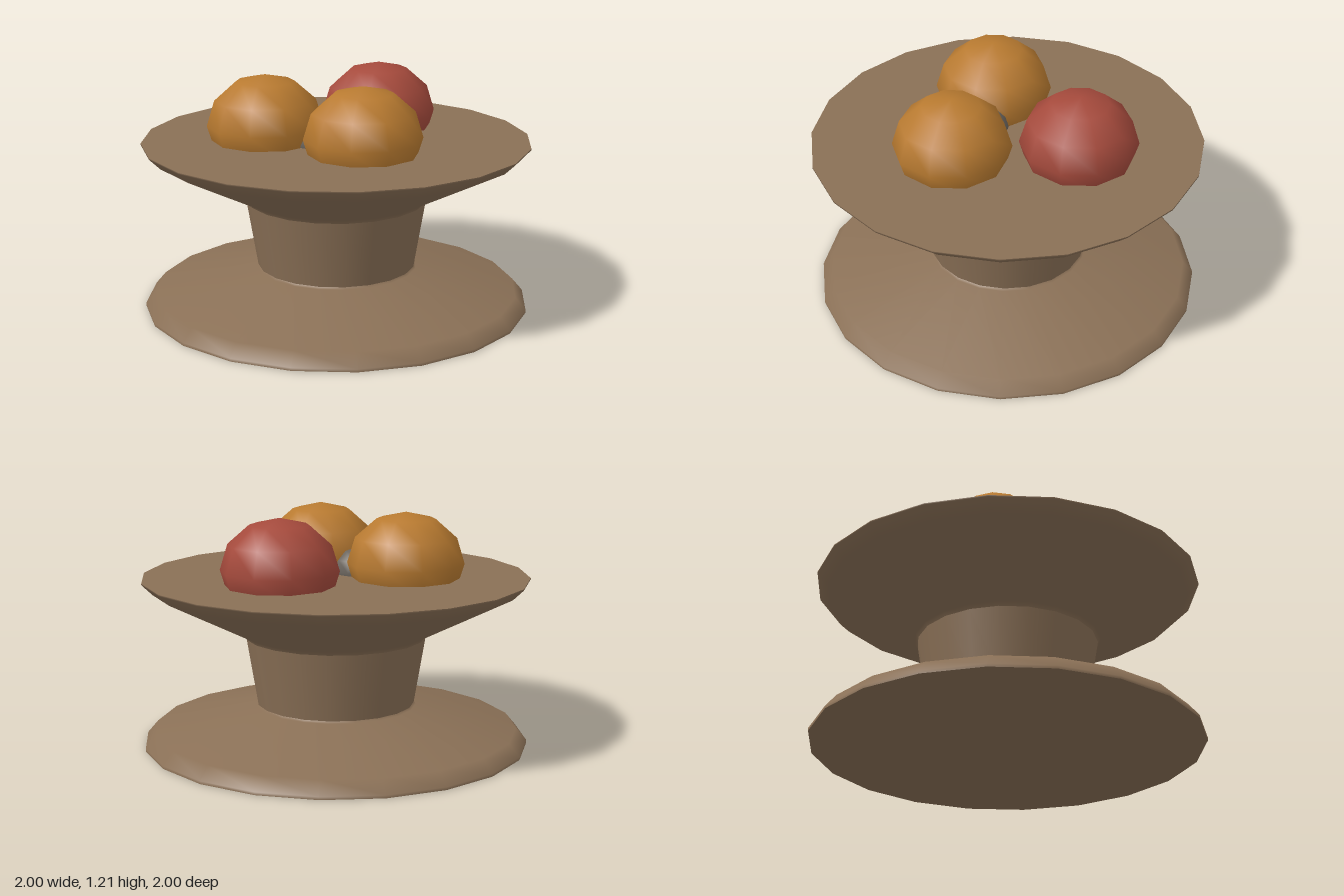
import * as THREE from 'three';

const mat = (name, color) => {
  const m = new THREE.MeshStandardMaterial({ color });
  m.name = name;
  return m;
};

export function createModel() {
  const group = new THREE.Group();
  const wood = mat('brown wood', 0x8a7056);
  const orange = mat('orange peel', 0xb87a30);
  const red = mat('red peel', 0xa54a3c);
  const grey = mat('grey peel', 0x6b655e);

  const add = (name, geometry, material) => {
    const mesh = new THREE.Mesh(geometry, material);
    mesh.name = name;
    group.add(mesh);
    return mesh;
  };
  // Turned part: [radius, height] pairs from bottom to top
  const turned = (name, points) => add(name,
    new THREE.LatheGeometry(points.map(([r, y]) => new THREE.Vector2(r, y)), 20), wood);

  // Stand: foot, neck and flaring dish
  turned('underside', [[0, 0], [1, 0]]);
  turned('foot', [[1, 0], [1, 0.015], [0.945, 0.08], [0.42, 0.2], [0.41, 0.21]]);
  turned('neck', [[0.41, 0.21], [0.468, 0.56]]);
  turned('dish', [[0.468, 0.56], [0.482, 0.58], [0.945, 0.815], [1, 0.868], [1, 0.875]]);
  turned('dishTop', [[1, 0.875], [0, 0.875]]);

  // Slightly flattened fruit, sunk into the dish
  const fruit = (name, material, x, y, z, radius) => {
    const mesh = add(name, new THREE.SphereGeometry(radius, 10, 6), material);
    mesh.position.set(x, y, z);
    mesh.rotation.y = Math.PI / 2;
    mesh.scale.y = 0.88;
  };
  fruit('frontFruit', orange, 0, 0.95, 0.33, 0.3);
  fruit('rightFruit', orange, -0.335, 0.95, -0.14, 0.3);
  fruit('leftFruit', red, 0.335, 0.95, -0.205, 0.3);
  fruit('smallFruit', grey, -0.13, 0.89, 0.06, 0.13);

  return group;
}
